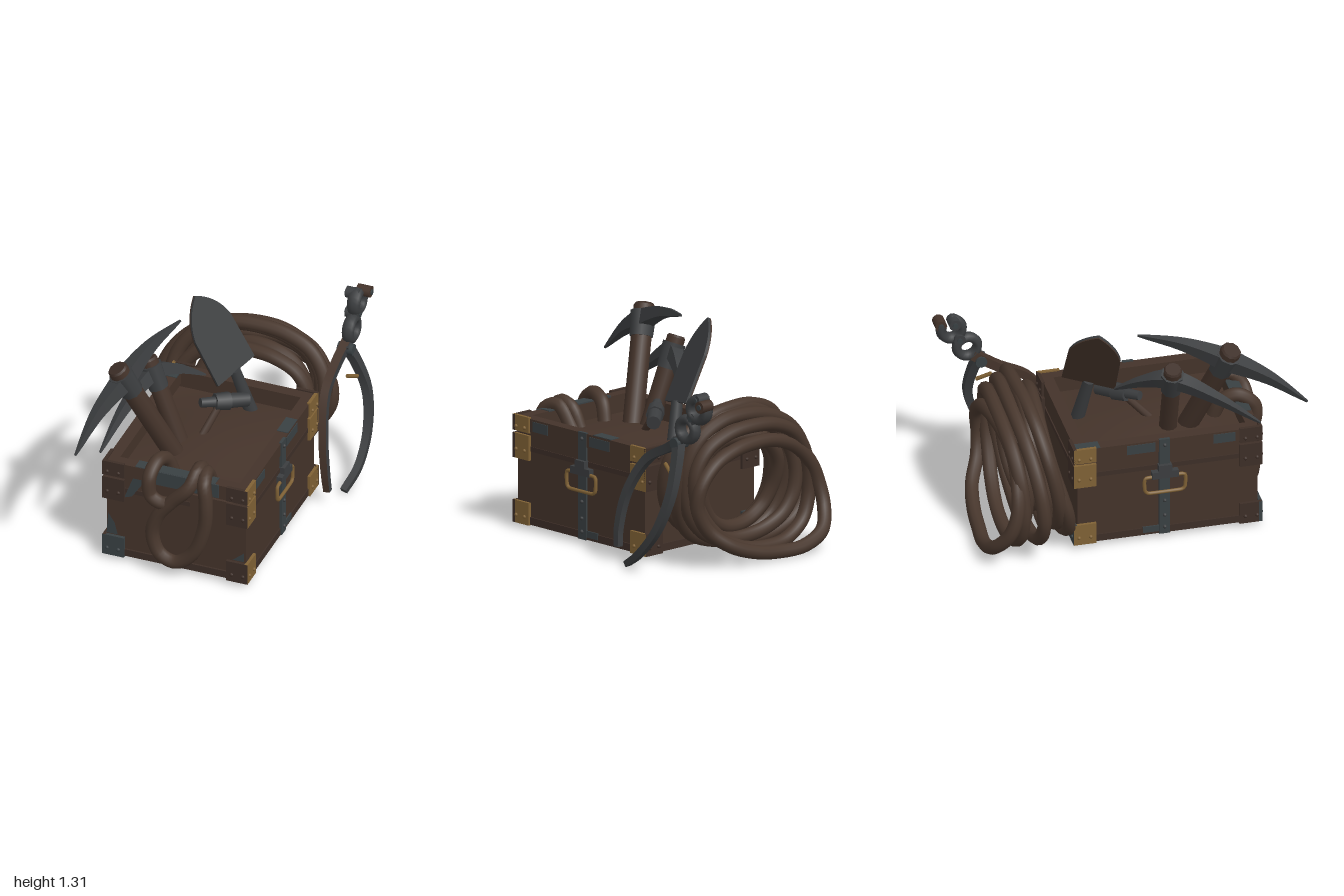
import * as THREE from 'three';

const mat = (name, color) => {
  const m = new THREE.MeshStandardMaterial({ color });
  m.name = name;
  return m;
};
const V = (x, y, z) => new THREE.Vector3(x, y, z);
const CX = -0.015, CZ = 0.18; // chest centre

export function createModel() {
  const wood = mat('brown wood', 0x44332a);
  const dark = mat('dark leather', 0x3d2e27);
  const ropeMat = mat('rope brown', 0x48372d);
  const steel = mat('dark steel', 0x3b3d3f);
  const iron = mat('blue iron', 0x394043);
  const brass = mat('old brass', 0x7f6135);
  const root = new THREE.Group();

  const add = (name, geo, material, parent = root) => {
    const m = new THREE.Mesh(geo, material);
    m.name = name;
    parent.add(m);
    return m;
  };
  const group = (name) => {
    const g = new THREE.Group();
    g.name = name;
    root.add(g);
    return g;
  };
  const box = (name, w, h, d, x, y, z, material, parent) => {
    add(name, new THREE.BoxGeometry(w, h, d), material, parent).position.set(x, y, z);
  };
  // Cylinder running from a to b
  const rod = (name, a, b, ra, rb, sides, material, parent) => {
    const d = b.clone().sub(a);
    const m = add(name, new THREE.CylinderGeometry(rb, ra, d.length(), sides), material, parent);
    m.position.copy(a).addScaledVector(d, 0.5);
    m.quaternion.setFromUnitVectors(V(0, 1, 0), d.normalize());
  };
  // Box bent along a curve, its half height and half width given by size(t)
  const bent = (name, pts, side, size, material, parent) => {
    const curve = new THREE.CatmullRomCurve3(pts);
    const geo = new THREE.BoxGeometry(1, 1, 1, 28, 1, 1);
    const p = geo.attributes.position;
    for (let i = 0; i < p.count; i++) {
      const t = Math.min(1, Math.max(0, p.getX(i) + 0.5));
      const T = curve.getTangent(t);
      const B = side.clone().cross(T).normalize();
      const S = T.clone().cross(B);
      const [h, w] = size(t);
      const v = curve.getPoint(t)
        .addScaledVector(B, 2 * h * p.getY(i)).addScaledVector(S, 2 * w * p.getZ(i));
      p.setXYZ(i, v.x, v.y, v.z);
    }
    geo.computeVertexNormals();
    add(name, geo, material, parent);
  };
  const rope = (name, pts, closed, parent) => add(name, new THREE.TubeGeometry(
    new THREE.CatmullRomCurve3(pts, closed), closed ? 110 : 80, 0.042, 10, closed), ropeMat, parent);

  // Chest: stacked rectangular rings
  const chest = group('chest');
  const ring = (name, y0, y1, hw, hl, t, material) => {
    const rect = (P, w, l) => {
      const s = new P();
      s.moveTo(-w, -l); s.lineTo(w, -l); s.lineTo(w, l); s.lineTo(-w, l); s.closePath();
      return s;
    };
    const s = rect(THREE.Shape, hw, hl);
    s.holes.push(rect(THREE.Path, hw - t, hl - t));
    const geo = new THREE.ExtrudeGeometry(s, { depth: y1 - y0, bevelEnabled: false });
    geo.rotateX(-Math.PI / 2);
    geo.translate(CX, y0, CZ);
    add(name, geo, material, chest);
  };
  ring('baseTrim', 0.035, 0.08, 0.445, 0.552, 0.065, dark);
  ring('walls', 0.08, 0.6, 0.437, 0.54, 0.05, wood);
  ring('ridge', 0.475, 0.505, 0.442, 0.547, 0.03, dark);
  ring('rim', 0.59, 0.672, 0.445, 0.552, 0.07, wood);
  box('innerFloor', 0.79, 0.02, 1.0, CX, 0.37, CZ, dark, chest);
  // Gently domed contents, just below the rim
  const fill = new THREE.PlaneGeometry(0.78, 0.99, 12, 14).rotateX(-Math.PI / 2);
  const fp = fill.attributes.position;
  for (let i = 0; i < fp.count; i++) {
    const c = Math.cos((fp.getX(i) / 0.78) * Math.PI) * Math.cos((fp.getZ(i) / 0.99) * Math.PI);
    fp.setY(i, 0.56 + 0.05 * c);
  }
  fill.computeVertexNormals();
  add('contents', fill, wood, chest).position.set(CX, 0, CZ);

  // Corner brackets with rivets
  const rivet = (x, y, z, m) => {
    add('rivet', new THREE.SphereGeometry(0.012, 8, 6), m, chest).position.set(x, y, z);
  };
  for (const sx of [-1, 1]) for (const sz of [-1, 1])
    for (const [y0, y1] of [[0.03, 0.165], [0.42, 0.57], [0.585, 0.68]]) {
      const sideMat = sx < 0 && sz > 0 ? dark : brass;
      const endMat = sx < 0 && y0 < 0.1 ? iron : dark;
      const y = (y0 + y1) / 2, h = y1 - y0;
      box('sideBracket', 0.02, h, 0.135, CX + sx * 0.445, y, CZ + sz * 0.4975, sideMat, chest);
      box('endBracket', 0.135, h, 0.02, CX + sx * 0.3875, y, CZ + sz * 0.557, endMat, chest);
      for (const k of [-0.035, 0.035]) {
        rivet(CX + sx * 0.454, y - 0.02, CZ + sz * 0.5 + k, sideMat);
        rivet(CX + sx * 0.39 + k, y - 0.02, CZ + sz * 0.566, endMat);
      }
    }

  // Side straps, buckles and carrying handles
  for (const sx of [-1, 1]) {
    const x = CX + sx * 0.443;
    box('strap', 0.018, 0.645, 0.065, x, 0.355, 0.16, iron, chest);
    for (const y of [0.08, 0.16, 0.26, 0.64]) rivet(x + sx * 0.01, y, 0.16, steel);
    box('buckle', 0.04, 0.045, 0.16, x + sx * 0.01, 0.445, 0.16, steel, chest);
    box('buckleTop', 0.04, 0.07, 0.08, x + sx * 0.01, 0.475, 0.16, steel, chest);
    const loop = [[0.045, 0.43], [0.04, 0.345], [0.065, 0.325], [0.255, 0.325], [0.28, 0.345], [0.275, 0.43]]
      .map(([z, y]) => V(x + sx * 0.016, y, z));
    add('carryHandle', new THREE.TubeGeometry(
      new THREE.CatmullRomCurve3(loop, true, 'catmullrom', 0.2), 48, 0.011, 8, true), brass, chest);
    // Worn metal patches
    box('rimPatch', 0.008, 0.06, 0.17, CX + sx * 0.445, 0.63, 0.02, iron, chest);
    box('rimPatch', 0.008, 0.06, 0.13, CX + sx * 0.445, 0.63, 0.52, iron, chest);
    box('basePatch', 0.008, 0.04, 0.14, CX + sx * 0.445, 0.07, 0.1, iron, chest);
    box('rimTopPatch', 0.07, 0.008, 0.15, CX + sx * 0.409, 0.672, sx < 0 ? -0.3 : 0.0, iron, chest);
  }
  box('frontRimPlate', 0.42, 0.09, 0.008, 0.045, 0.63, 0.733, iron, chest);
  box('frontRimTop', 0.5, 0.008, 0.07, -0.02, 0.672, 0.695, iron, chest);
  box('frontLedge', 0.27, 0.09, 0.02, 0.21, 0.525, 0.727, wood, chest);
  const frontPatch = (corners) => {
    const s = new THREE.Shape(corners.map(([x, y]) => new THREE.Vector2(x, y)));
    add('frontPatch', new THREE.ShapeGeometry(s), iron, chest).position.z = 0.7285;
  };
  frontPatch([[-0.34, 0.44], [-0.29, 0.46], [-0.2, 0.6], [-0.28, 0.6]]);
  frontPatch([[-0.45, 0.17], [-0.38, 0.17], [-0.4, 0.25], [-0.44, 0.31]]);
  frontPatch([[0.34, 0.17], [0.41, 0.17], [0.41, 0.23]]);

  // Pickaxes
  const pickaxe = (name, top, foot, tips, mid, r, thick) => {
    const g = group(name);
    const axis = foot.clone().sub(top).normalize();
    const at = (d) => top.clone().addScaledVector(axis, d);
    rod('handle', foot, top, r, r, 10, wood, g);
    rod('handleEnd', at(0), at(-0.012), r, r * 0.85, 10, dark, g);
    rod('collar', at(0.19), at(0.035), r * 1.1, r * 1.25, 8, steel, g);
    const [a, b] = tips;
    const arch = (p, k, lift) => p.clone().lerp(mid, k).addScaledVector(axis, -lift);
    const side = b.clone().sub(a).cross(axis).normalize();
    bent('head', [a, arch(a, 0.5, 0.03), mid, arch(b, 0.5, 0.03), b], side, (t) => {
      const k = 1 - Math.abs(2 * t - 1);
      return [0.005 + thick * Math.pow(k, 0.8), 0.005 + thick * k];
    }, steel, g);
  };
  pickaxe('largePickaxe', V(-0.445, 1.21, 0.565), V(-0.055, 0.31, 0.29),
    [V(-0.54, 0.855, 1.0), V(-0.255, 1.28, 0.05)], V(-0.415, 1.135, 0.545), 0.062, 0.045);
  pickaxe('smallPickaxe', V(-0.385, 1.09, 0.23), V(-0.13, 0.45, 0.255),
    [V(-0.49, 0.72, 0.73), V(-0.14, 0.86, -0.06)], V(-0.357, 1.01, 0.232), 0.055, 0.04);

  // Shovel: steel blade with a brown back
  const shovel = group('shovel');
  const U = V(-0.12, -0.065, 0.32).normalize();
  const L = V(-0.26, 0.455, 0.01);
  L.addScaledVector(U, -L.dot(U)).normalize();
  const N = U.clone().cross(L);
  const base = V(0.0, 0.845, -0.18);
  const outline = new THREE.Shape();
  outline.moveTo(-0.16, 0);
  outline.lineTo(0.16, 0);
  outline.lineTo(0.155, 0.3);
  outline.quadraticCurveTo(0.13, 0.44, 0, 0.53);
  outline.quadraticCurveTo(-0.13, 0.44, -0.155, 0.3);
  const blade = (name, depth, offset, material) => {
    const m = add(name, new THREE.ExtrudeGeometry(outline, { depth, bevelEnabled: false }), material, shovel);
    m.quaternion.setFromRotationMatrix(new THREE.Matrix4().makeBasis(U, L, N));
    m.position.copy(base).addScaledVector(N, offset);
  };
  blade('bladeFront', 0.015, -0.01, steel);
  blade('bladeBack', 0.008, 0.005, wood);
  rod('socket', V(0.08, 0.55, -0.23), base.clone().addScaledVector(L, 0.01), 0.042, 0.034, 10, steel, shovel);

  // Hammer
  const hammer = group('hammer');
  const h0 = V(-0.11, 0.77, 0.1), h1 = V(0.11, 0.725, -0.1);
  const along = (t) => h0.clone().lerp(h1, t);
  rod('head', along(0), along(0.7), 0.028, 0.036, 10, steel, hammer);
  rod('hub', along(0.3), along(0.6), 0.05, 0.055, 8, steel, hammer);
  rod('face', along(0.6), along(1), 0.045, 0.042, 10, steel, hammer);
  rod('hammerHandle', V(-0.1, 0.52, 0.24), along(0.45), 0.025, 0.022, 8, wood, hammer);

  // Pincers
  const pincers = group('pincers');
  const X = V(1, 0, 0);
  const grip = (t) => [0.029 - 0.011 * t, 0.028 - 0.008 * t];
  bent('frontGrip', [V(0.48, 0.83, -0.76), V(0.46, 0.74, -0.61), V(0.465, 0.64, -0.43),
    V(0.505, 0.42, -0.295), V(0.535, 0.2, -0.255), V(0.545, 0.09, -0.26)], X, grip,
  [steel, steel, steel, wood, steel, wood], pincers);
  bent('backGrip', [V(0.48, 0.82, -0.71), V(0.53, 0.7, -0.745), V(0.595, 0.5, -0.76),
    V(0.63, 0.28, -0.68), V(0.63, 0.11, -0.53), V(0.595, 0.02, -0.39)], X, grip, steel, pincers);
  rod('hinge', V(0.435, 0.79, -0.715), V(0.53, 0.79, -0.715), 0.035, 0.035, 12, iron, pincers);
  const jawRing = (x, y, z, R, r, arc, turn) => {
    const geo = new THREE.TorusGeometry(R, r, 8, 20, arc);
    geo.rotateZ(turn);
    geo.scale(1, 1, 1.3);
    geo.rotateY(Math.PI / 2); // ring stands in the y-z plane
    add('jaw', geo, steel, pincers).position.set(x, y, z);
  };
  jawRing(0.487, 0.885, -0.79, 0.063, 0.029, Math.PI * 2, 0);
  jawRing(0.485, 1.02, -0.885, 0.062, 0.032, Math.PI * 1.7, Math.PI * 0.5);
  for (const [x, y, z, m] of [[0.465, 1.075, -0.875, steel], [0.505, 1.055, -0.95, wood], [0.475, 0.96, -0.845, steel]]) {
    rod('jawLobe', V(x - 0.042, y, z), V(x + 0.042, y, z), 0.036, 0.036, 10, m, pincers);
    rod('jawPin', V(x - 0.05, y, z), V(x + 0.05, y, z), 0.017, 0.017, 8, iron, pincers);
  }
  rod('tieRod', V(0.52, 0.655, -0.635), V(0.55, 0.61, -0.72), 0.012, 0.012, 8, brass, pincers);

  // Rope coil: [centre x, centre y, radius x, radius y, z at bottom, z at top, flare]
  const coil = group('ropeCoil');
  [
    [-0.10, 0.42, 0.42, 0.36, -0.43, -0.52, 1],
    [-0.07, 0.50, 0.46, 0.41, -0.46, -0.60, 1],
    [-0.06, 0.47, 0.43, 0.40, -0.52, -0.64, 1],
    [-0.05, 0.45, 0.35, 0.31, -0.52, -0.60, 1],
    [-0.13, 0.46, 0.48, 0.40, -0.60, -0.67, 1],
    [-0.08, 0.46, 0.39, 0.36, -0.65, -0.67, 1],
    [-0.06, 0.45, 0.31, 0.27, -0.60, -0.66, 1],
    [-0.11, 0.43, 0.46, 0.37, -0.72, -0.74, 1],
    [-0.12, 0.37, 0.47, 0.33, -0.89, -0.75, 2.2],
  ].forEach(([cx, cy, rx, ry, zb, zt, flare], k) => {
    const pts = [];
    for (let i = 0; i < 16; i++) {
      const a = (i / 16) * Math.PI * 2;
      const wob = 1 + 0.035 * Math.sin(2 * a + k * 1.7) + 0.02 * Math.sin(3 * a + k)
        + 0.04 * Math.sin(2 * a) ** 2;
      const s = Math.sin(a), y = cy + ry * wob * s;
      const x = cx + rx * wob * Math.cos(a) + 0.14 * (y - cy);
      const u = THREE.MathUtils.smoothstep(flare * (1 + s) / 2, 0, 1);
      pts.push(V(x, Math.max(0.05, y), zb + (zt - zb) * u + 0.02 * Math.sin(2 * a + k * 2)));
    }
    rope('ropeLoop', pts, true, coil);
  });

  // Rope hanging over the front wall
  const hang = group('hangingRope');
  rope('shortStrand', [V(-0.1, 0.54, 0.53), V(-0.13, 0.68, 0.59), V(-0.15, 0.715, 0.68), V(-0.165, 0.65, 0.77),
    V(-0.155, 0.54, 0.78), V(-0.1, 0.5, 0.78), V(-0.02, 0.495, 0.765)], false, hang);
  rope('longStrand', [V(0.09, 0.54, 0.53), V(0.1, 0.68, 0.6), V(0.105, 0.71, 0.69), V(0.08, 0.63, 0.765),
    V(-0.02, 0.52, 0.775), V(-0.11, 0.4, 0.775), V(-0.145, 0.27, 0.775),
    V(-0.1, 0.14, 0.775), V(0.0, 0.1, 0.775), V(0.11, 0.19, 0.775), V(0.18, 0.38, 0.775),
    V(0.19, 0.56, 0.775), V(0.17, 0.67, 0.75), V(0.15, 0.695, 0.66), V(0.14, 0.54, 0.54)], false, hang);

  return root;
}
